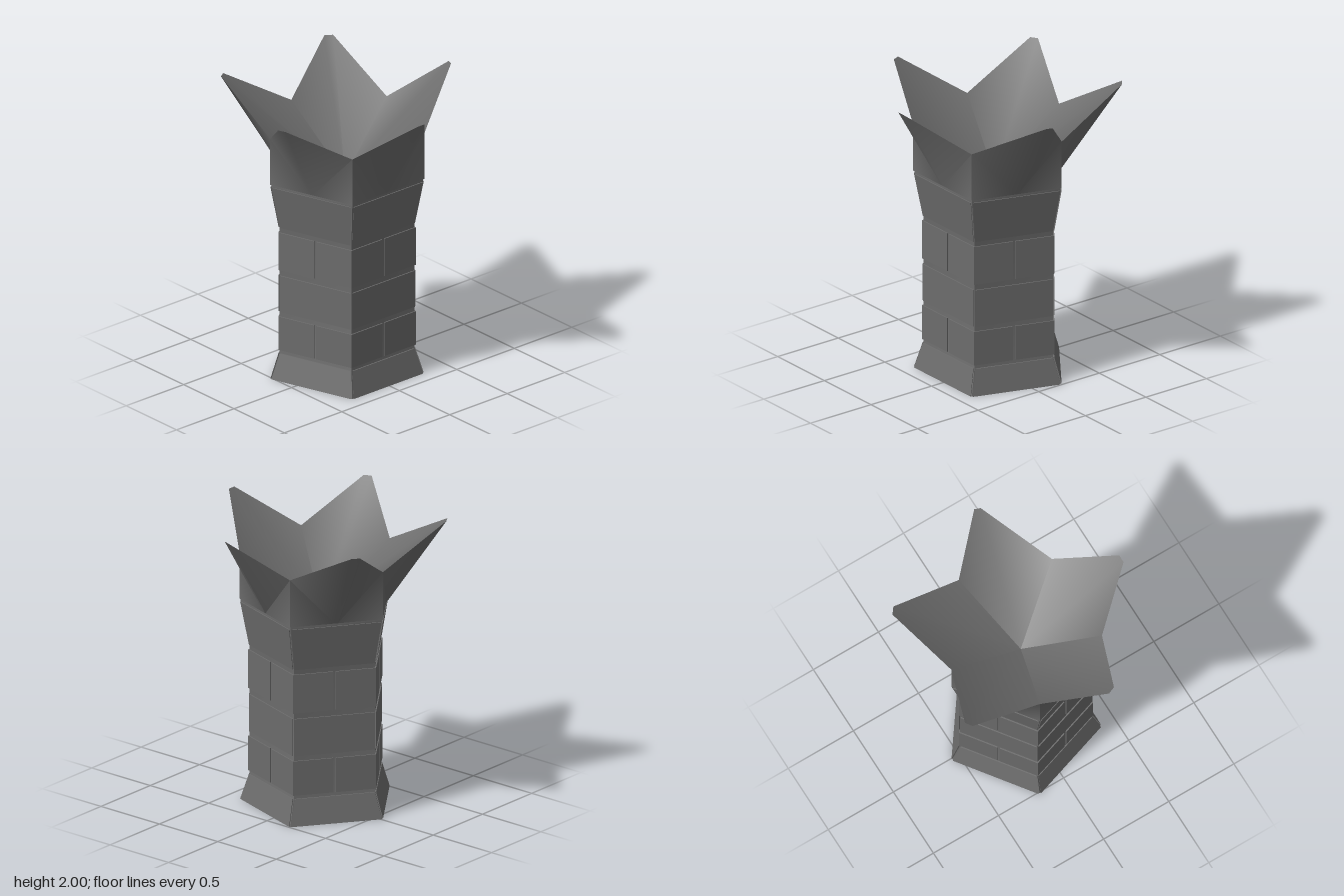
import * as THREE from 'three';
import { mergeGeometries, mergeVertices, toCreasedNormals } from 'three/addons/utils/BufferGeometryUtils.js';

const CX = -0.028, CZ = 0.01;
const material = new THREE.MeshStandardMaterial({ color: 0x6c6c6c });

// Point on a pentagon outline; whole values of t are corners, 0 is the one at -x
function P(t, r, y) {
  const corner = (i) => {
    const a = Math.PI - (i * Math.PI * 2) / 5;
    return new THREE.Vector3(CX + r * Math.cos(a), y, CZ + r * Math.sin(a));
  };
  const i = Math.floor(t);
  return corner(i).lerp(corner(i + 1), t - i);
}

function fromTriangles(points, crease) {
  let g = new THREE.BufferGeometry().setFromPoints(points);
  g = mergeVertices(g, 1e-4);
  return toCreasedNormals(g, crease);
}

// Skin a row of convex rings, with optional end caps
function loft(rings, capStart = true, capEnd = true) {
  const tris = [], n = rings[0].length;
  for (let k = 0; k < rings.length - 1; k++) {
    const a = rings[k], b = rings[k + 1];
    for (let j = 0; j < n; j++) {
      const m = (j + 1) % n;
      tris.push(a[j], a[m], b[m], a[j], b[m], b[j]);
    }
  }
  const s = rings[0], e = rings[rings.length - 1];
  for (let j = 1; j < n - 1; j++) {
    if (capStart) tris.push(s[0], s[j + 1], s[j]);
    if (capEnd) tris.push(e[0], e[j], e[j + 1]);
  }
  return fromTriangles(tris, 0.4);
}

// Five blocks around one course; shifted blocks wrap the corners
function course(y0, y1, r0, r1, shift) {
  const depth = 0.06, gap = 0.032, blocks = [];
  for (let i = 0; i < 5; i++) {
    const start = i + shift + gap / 2, end = i + shift + 1 - gap / 2;
    const stations = shift ? [start, i + 1, end] : [start, end];
    blocks.push(loft(stations.map((t) => [
      P(t, r0, y0), P(t, r0 - depth, y0), P(t, r1 - depth, y1), P(t, r1, y1),
    ])));
  }
  return mergeGeometries(blocks);
}

// Flared five-pointed crown: upright corners, folded petals and the bowl inside
function crown() {
  const R = 0.533, y0 = 1.4, valley = 1.73;
  // Blunt tip ends, x and z, one pair per side
  const tips = [
    [-0.73, 0.455, -0.7, 0.5], [0.18, 0.775, 0.23, 0.755], [0.74, 0.045, 0.74, -0.01],
    [0.14, -0.765, 0.1, -0.78], [-0.705, -0.48, -0.74, -0.435],
  ];
  const outer = [], inner = [], lip = [];
  const floor = new THREE.Vector3(CX, 1.36, CZ);
  tips.forEach(([ax, az, bx, bz], i) => {
    const v0 = P(i, R, valley), v1 = P(i + 1, R, valley);
    const t0 = new THREE.Vector3(ax, 2, az), t1 = new THREE.Vector3(bx, 2, bz);
    const [c0, m0, m1, c1] = [0, 0.485, 0.515, 1].map((f) => P(i + f, R, y0));
    outer.push(
      c0, m0, v0, m0, t0, v0, // first half of the petal
      m0, m1, t1, m0, t1, t0, // blunt ridge
      m1, c1, v1, m1, v1, t1, // second half
    );
    inner.push(floor, v0, t0, floor, t0, t1, floor, t1, v1);
    // Narrow underside ledge
    const d0 = P(i, 0.5, y0), d1 = P(i + 1, 0.5, y0);
    lip.push(c0, d0, d1, c0, d1, c1);
  });
  return mergeGeometries([fromTriangles(outer, 0.8), fromTriangles(inner, 0.9), fromTriangles(lip, 0.4)]);
}

export function createModel() {
  const group = new THREE.Group();
  const add = (name, geometry) => {
    const mesh = new THREE.Mesh(geometry, material);
    mesh.name = name;
    group.add(mesh);
  };

  // Recessed core seen in the joints
  const coreRings = [[0, 0.524], [0.175, 0.465], [1.08, 0.465], [1.38, 0.524], [1.4, 0.524]]
    .map(([y, r]) => [0, 1, 2, 3, 4].map((i) => P(i, r, y)));
  add('core', loft(coreRings, true, false));

  // Stone courses from the ground up
  add('baseCourse', course(0, 0.175, 0.533, 0.475, 0));
  add('lowerCourse', course(0.2, 0.44, 0.475, 0.475, 0.5));
  add('middleCourse', course(0.475, 0.735, 0.475, 0.475, 0));
  add('upperCourse', course(0.775, 1.045, 0.475, 0.475, 0.5));
  add('flaredCourse', course(1.08, 1.38, 0.475, 0.533, 0));

  add('crown', crown());
  return group;
}
